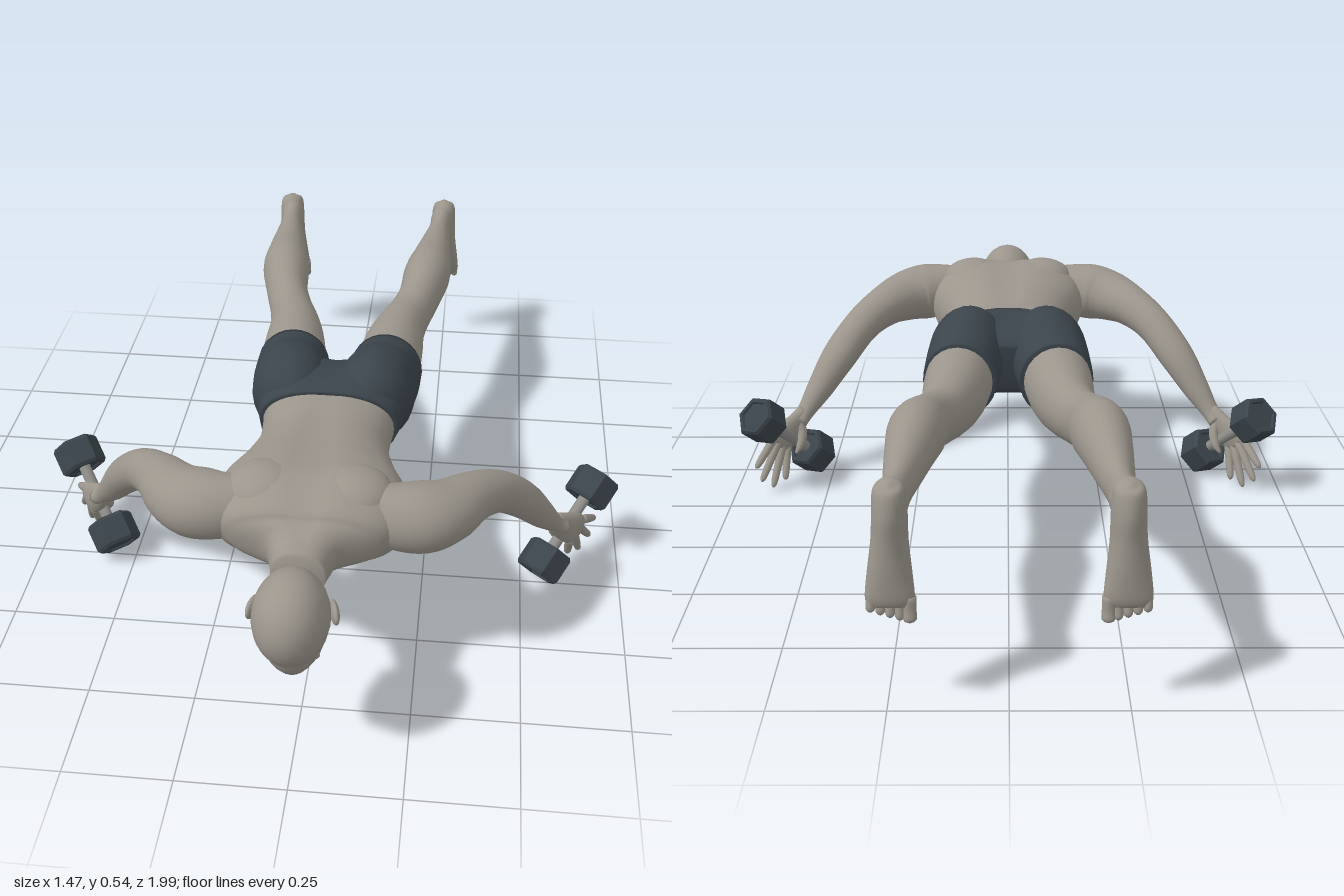
import * as THREE from 'three';

const material = (name, color) => {
  const m = new THREE.MeshStandardMaterial({ color });
  m.name = name;
  return m;
};
const V = (x, y, z) => new THREE.Vector3(x, y, z);

// Smooth closed skin through rows of [x, y, z, side radius, up radius].
function loft(rows, { ref = V(0, 1, 0), sides = 20, steps = 5, square = 2, groove = 0 } = {}) {
  const path = new THREE.CatmullRomCurve3(rows.map(r => V(r[0], r[1], r[2])), false, 'catmullrom');
  const size = new THREE.CatmullRomCurve3(rows.map(r => V(r[3], r[4], 0)), false, 'catmullrom');
  const n = (rows.length - 1) * steps, pos = [], idx = [];
  const bulge = v => Math.sign(v) * Math.abs(v) ** (2 / square);
  for (let i = 0; i <= n; i++) {
    const t = i / n, p = path.getPoint(t), r = size.getPoint(t), dir = path.getTangent(t);
    const side = ref.clone().cross(dir).normalize(), up = dir.clone().cross(side);
    for (let j = 0; j < sides; j++) {
      const a = j / sides * Math.PI * 2, c = bulge(Math.cos(a)), s = bulge(Math.sin(a));
      const dip = groove * Math.sin(Math.PI * t) * Math.exp(-((c / 0.2) ** 2)) * (s > 0 ? 1 : 0.5);
      pos.push(...p.clone().addScaledVector(side, c * r.x).addScaledVector(up, s * r.y * (1 - dip)).toArray());
    }
  }
  for (let i = 0; i < n; i++) for (let j = 0; j < sides; j++) {
    const a = i * sides + j, b = i * sides + (j + 1) % sides;
    idx.push(a, b, a + sides, b, b + sides, a + sides);
  }
  // end caps
  const first = pos.length / 3, last = n * sides;
  pos.push(...path.getPoint(0).toArray(), ...path.getPoint(1).toArray());
  for (let j = 0; j < sides; j++) {
    const k = (j + 1) % sides;
    idx.push(first, k, j, first + 1, last + j, last + k);
  }
  const g = new THREE.BufferGeometry();
  g.setAttribute('position', new THREE.Float32BufferAttribute(pos, 3));
  g.setIndex(idx);
  g.computeVertexNormals();
  return g;
}

export function createModel() {
  const root = new THREE.Group();
  root.name = 'proneFigureWithDumbbells';
  const skin = material('skin', 0x9b958c);
  const dark = material('charcoal', 0x3b444b);
  const steel = material('steel', 0x8d8c89);

  const add = (name, geo, mat = skin, parent = root) => {
    const m = new THREE.Mesh(geo, mat);
    m.name = name;
    parent.add(m);
    return m;
  };
  const blob = (name, p, s) => {
    const m = add(name, new THREE.SphereGeometry(1, 24, 16));
    m.position.set(...p);
    m.scale.set(...s);
    return m;
  };

  // neck and trunk
  add('torso', loft([
    [0, .425, .78, .058, .052], [0, .42, .725, .07, .062], [0, .423, .695, .09, .068],
    [0, .428, .665, .165, .078], [0, .435, .63, .205, .1], [0, .435, .57, .222, .118],
    [0, .422, .49, .215, .122], [0, .412, .4, .184, .116], [0, .407, .3, .159, .107],
    [0, .409, .23, .158, .101], [0, .412, .16, .165, .098]
  ], { sides: 40, square: 2.3, groove: .13 }));
  add('shortsHips', loft([
    [0, .411, .18, .17, .103], [0, .418, .13, .184, .107], [0, .42, .07, .19, .104],
    [0, .415, .02, .16, .09], [0, .41, -.015, .1, .06]
  ], { sides: 36, square: 2.3, groove: .12 }), dark);

  // head, looking at the floor
  blob('cranium', [0, .408, .885], [.083, .103, .106]);
  add('face', loft([
    [0, .43, .86, .07, .09], [0, .38, .858, .077, .098], [0, .335, .85, .07, .094],
    [0, .303, .84, .056, .082], [0, .287, .832, .036, .062], [0, .283, .83, .01, .02]
  ], { ref: V(0, 0, 1), sides: 28 }));
  blob('nose', [0, .284, .832], [.013, .018, .022]);
  blob('lips', [0, .287, .793], [.024, .011, .011]);
  blob('chin', [0, .3, .768], [.026, .017, .019]);

  const axis0 = V(.112, .142, -.133).normalize();
  for (const s of [1, -1]) {
    const tag = s > 0 ? 'left' : 'right';
    const flip = rows => rows.map(([x, ...rest]) => [x * s, ...rest]);
    const limb = (name, rows, opts, mat) => add(tag + name, loft(flip(rows), opts), mat);

    blob(tag + 'Ear', [s * .086, .395, .848], [.01, .024, .032]).rotation.y = s * .3;
    blob(tag + 'Brow', [s * .03, .305, .885], [.03, .013, .012]);
    blob(tag + 'Pectoral', [s * .1, .35, .53], [.095, .046, .075]);
    blob(tag + 'ShoulderBlade', [s * .1, .492, .565], [.09, .06, .085]);

    // arm
    limb('Arm', [
      [.14, .455, .585, .06, .07], [.24, .45, .578, .084, .08], [.3, .445, .545, .078, .072],
      [.36, .435, .47, .06, .058], [.42, .4, .395, .051, .05], [.48, .33, .325, .05, .046],
      [.53, .255, .275, .038, .036], [.568, .2, .237, .026, .024], [.59, .175, .215, .03, .022]
    ], { sides: 24 });

    // hand with open fingers across the grip
    const normal = V(s * .77, 0, .64);
    limb('Palm', [
      [.57, .198, .235, .024, .021], [.6, .165, .205, .036, .02],
      [.625, .14, .18, .042, .018], [.64, .122, .163, .037, .011]
    ], { ref: normal });
    const tips = [[.622, .03, .14], [.652, .02, .11], [.678, .048, .085], [.688, .095, .07]];
    tips.forEach((tip, i) => {
      const base = V(.634, .13, .17).addScaledVector(axis0, -.03 + i * .02), end = V(...tip);
      const row = (t, r) => [...base.clone().lerp(end, t).toArray(), r, r];
      limb('Finger' + (i + 1), [row(0, .012), row(.45, .011), row(.88, .009), row(1, .003)],
        { ref: normal, sides: 10, steps: 3 });
    });
    limb('Thumb', [
      [.588, .18, .212, .014, .014], [.576, .15, .198, .013, .013],
      [.58, .12, .178, .011, .011], [.592, .1, .165, .004, .004]
    ], { ref: normal, sides: 10, steps: 3 });

    // dumbbell with six-sided weights
    const bell = new THREE.Group();
    bell.name = tag + 'Dumbbell';
    bell.position.set(s * .612, .148, .1735);
    bell.quaternion.setFromUnitVectors(V(0, 1, 0), V(s * axis0.x, axis0.y, axis0.z));
    root.add(bell);
    add('grip', new THREE.CylinderGeometry(.015, .015, .2, 16), steel, bell);
    const r = .06, h = .039;
    const profile = [[0, -h + .006], [.68 * r, -h + .006], [.74 * r, -h], [.9 * r, -h], [r, -h + .008],
      [r, h - .008], [.9 * r, h], [.74 * r, h], [.68 * r, h - .006], [0, h - .006]];
    for (const e of [1, -1]) {
      const g = new THREE.LatheGeometry(profile.map(p => new THREE.Vector2(...p)), 6).toNonIndexed();
      g.computeVertexNormals();
      add(e > 0 ? 'outerWeight' : 'innerWeight', g, dark, bell).position.y = e * .112;
    }

    // leg and the shorts around its top
    limb('ShortsLeg', [
      [.085, .415, .15, .06, .085], [.1, .43, .09, .098, .117], [.108, .43, .03, .101, .115],
      [.117, .416, -.04, .098, .103], [.123, .409, -.105, .094, .099]
    ], { sides: 28 }, dark);
    limb('Leg', [
      [.122, .409, -.06, .088, .094], [.132, .41, -.2, .081, .089], [.145, .413, -.3, .068, .078],
      [.166, .418, -.38, .059, .068], [.188, .432, -.46, .058, .07], [.204, .449, -.56, .066, .076],
      [.213, .449, -.66, .056, .065], [.22, .447, -.76, .044, .054], [.227, .446, -.86, .032, .046],
      [.232, .452, -.93, .033, .046], [.236, .455, -.97, .026, .034]
    ], { sides: 24 });

    // foot hanging from the heel, sole facing backwards
    limb('Foot', [
      [.236, .505, -.955, .008, .01], [.236, .49, -.952, .031, .036], [.236, .44, -.948, .036, .051],
      [.237, .38, -.953, .038, .045], [.238, .31, -.966, .046, .033], [.238, .265, -.977, .05, .021],
      [.238, .245, -.979, .045, .013]
    ], { ref: V(0, 0, 1), sides: 24 });
    for (let i = 0; i < 5; i++) {
      const x = .199 + i * .0195, w = i ? .0095 : .014, y = .209 + i * .006;
      limb('Toe' + (i + 1), [
        [x, .265, -.977, w, w], [x, y + .025, -.98, w, w * .9], [x, y + .007, -.983, w, w], [x, y, -.984, .003, .003]
      ], { ref: V(0, 0, 1), sides: 10, steps: 3 });
    }
  }
  return root;
}
